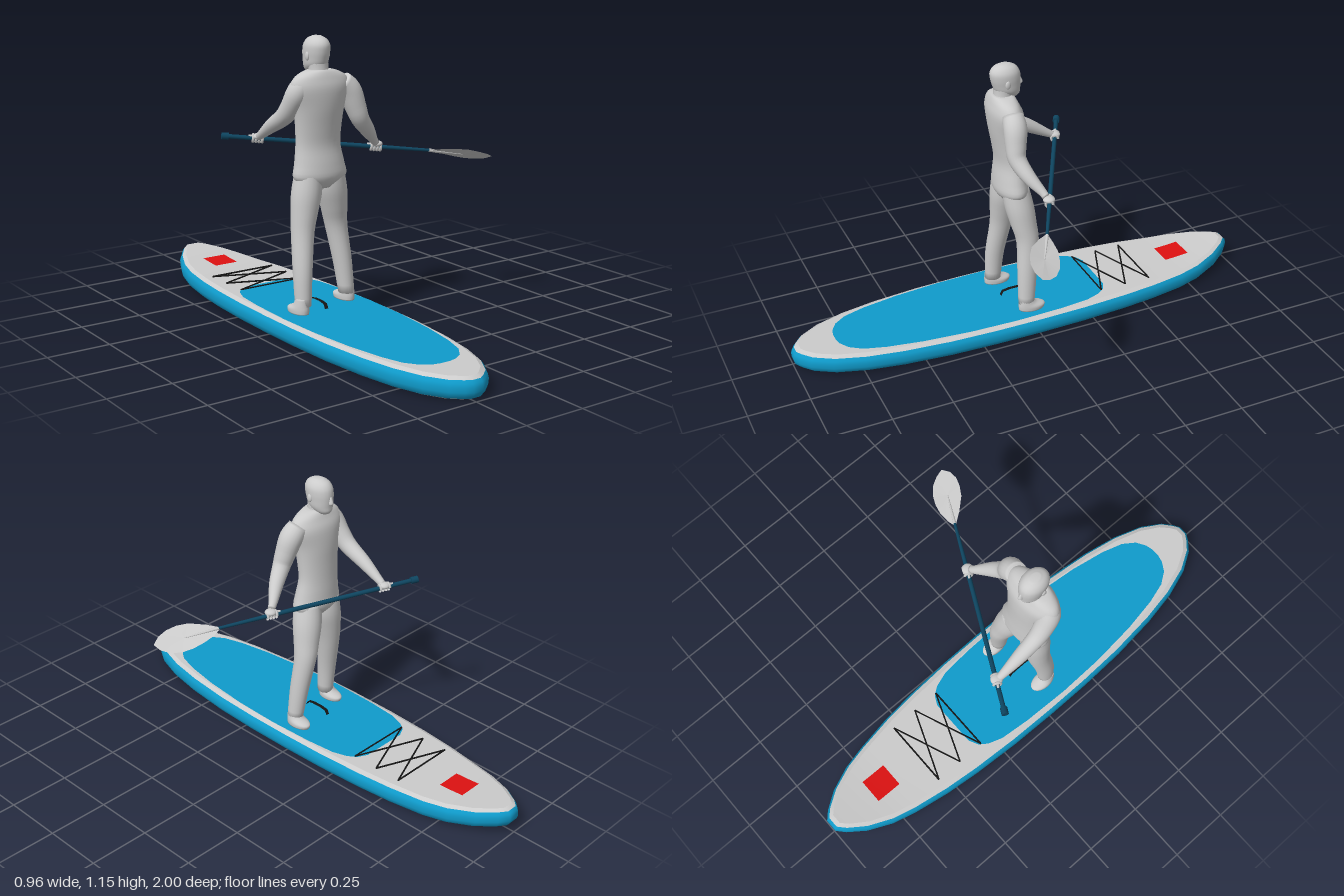
import * as THREE from 'three';

const V = (x, y, z) => new THREE.Vector3(x, y, z);
const CX = -0.24; // board centre line
const mat = (color) => new THREE.MeshStandardMaterial({ color, roughness: 0.8, side: THREE.DoubleSide });
const grey = mat(0xcccccc), blue = mat(0x0f9bcb), red = mat(0xdd1111), black = mat(0x151515), navy = mat(0x0e4560);

// Surface through rows of points; closed rows wrap round.
function skin(rows, closed) {
  const n = rows[0].length, index = [];
  for (let r = 0; r < rows.length - 1; r++) {
    for (let a = 0; a < (closed ? n : n - 1); a++) {
      const b = (a + 1) % n, p = r * n, q = p + n;
      index.push(p + a, q + a, p + b, q + a, q + b, p + b);
    }
  }
  const g = new THREE.BufferGeometry().setFromPoints(rows.flat());
  g.setIndex(index);
  g.computeVertexNormals();
  return g;
}

// Smooth body form from sections [x, y, z, rx, rz], listed bottom to top.
function loft(sections, { follow = false, sides = 20, steps = 4 } = {}) {
  const spline = (pts) => new THREE.CatmullRomCurve3(pts, false, 'catmullrom', 0.5);
  const path = spline(sections.map((s) => V(s[0], s[1], s[2])));
  const size = spline(sections.map((s) => V(s[3], s[4] ?? s[3], 0)));
  const count = (sections.length - 1) * steps, rows = [];
  const ring = (t, k) => {
    const c = path.getPoint(t), s = size.getPoint(t), q = new THREE.Quaternion();
    if (follow) q.setFromUnitVectors(V(0, 1, 0), path.getTangent(t));
    return Array.from({ length: sides }, (_, i) => {
      const a = (i / sides) * Math.PI * 2;
      return V(Math.cos(a) * s.x * k, 0, Math.sin(a) * s.y * k).applyQuaternion(q).add(c);
    });
  };
  rows.push(ring(0, 0));
  for (let i = 0; i <= count; i++) rows.push(ring(i / count, 1));
  rows.push(ring(1, 0));
  return skin(rows, true);
}

// Upward curve of the board's nose
const rocker = (z) => 0.036 * Math.pow(Math.max(0, (-0.68 - z) / 0.32), 1.5);

// Level sheet on the board from stations [z, half width]
function sheet(stations, y, dir = 1) {
  return skin(stations.map(([z, w]) => [-1, 0, 1].map((s) => V(CX + s * dir * w, y + rocker(z), z))), false);
}

// Straight rod between two points
function rod(a, b, r1, r2 = r1, sides = 12) {
  const d = b.clone().sub(a);
  const g = new THREE.CylinderGeometry(r2, r1, d.length(), sides);
  g.applyQuaternion(new THREE.Quaternion().setFromUnitVectors(V(0, 1, 0), d.normalize()));
  return g.translate((a.x + b.x) / 2, (a.y + b.y) / 2, (a.z + b.z) / 2);
}

function ball(x, y, z, rx, ry, rz) {
  return new THREE.SphereGeometry(1, 16, 12).scale(rx, ry, rz).translate(x, y, z);
}

export function createModel() {
  const model = new THREE.Group();
  const group = (name) => {
    const g = new THREE.Group();
    g.name = name;
    model.add(g);
    return g;
  };
  const add = (parent, name, geometry, material = grey) => {
    const m = new THREE.Mesh(geometry, material);
    m.name = name;
    parent.add(m);
  };

  // Board: one outline, inset for each level of the rounded rail
  const board = group('board');
  const outline = [[-1, 0.025], [-0.97, 0.058], [-0.9, 0.108], [-0.8, 0.152], [-0.7, 0.177], [-0.55, 0.203], [-0.4, 0.219],
    [-0.2, 0.231], [0, 0.235], [0.2, 0.234], [0.4, 0.226], [0.6, 0.205], [0.75, 0.177], [0.87, 0.137], [0.95, 0.087], [0.985, 0.045], [1, 0.02]];
  const inset = (d) => outline.map(([z, w]) => [z * (1 - d), w * (1 - d / 0.235)]);
  const level = ([d, y]) => {
    const o = inset(d);
    const side = (s) => o.map(([z, w]) => V(CX + s * w, y + rocker(z), z));
    return [...side(1), ...side(-1).reverse()];
  };
  const band = (levels) => skin(levels.map(level), true);
  add(board, 'rail', band([[0.014, 0.009], [0.004, 0.02], [0, 0.034], [0, 0.052], [0.004, 0.065], [0.013, 0.076]]), blue);
  add(board, 'deckEdge', band([[0.013, 0.076], [0.032, 0.085]]));
  add(board, 'hullEdge', band([[0.036, 0], [0.014, 0.009]]));
  add(board, 'deck', sheet(inset(0.032), 0.085));
  add(board, 'hull', sheet(inset(0.036), 0, -1));
  add(board, 'deckPad', sheet([[-0.345, 0.1], [-0.325, 0.14], [-0.29, 0.165], [-0.23, 0.185], [-0.1, 0.197], [0.1, 0.203], [0.3, 0.197],
    [0.5, 0.178], [0.65, 0.152], [0.74, 0.125], [0.79, 0.09], [0.815, 0.05], [0.822, 0.02]], 0.087), blue);
  add(board, 'redPatch', sheet([[-0.79, 0.052], [-0.735, 0.052], [-0.68, 0.052]], 0.0885), red);

  // Bungee cords: two crossings between end lines
  const cord = (x1, z1, x2, z2) => add(board, 'bungeeCord', rod(V(CX + x1, 0.088, z1), V(CX + x2, 0.088, z2), 0.0035, 0.0035, 6), black);
  for (const z of [-0.545, -0.315]) cord(-0.145, z, 0.145, z);
  for (const z of [-0.545, -0.43]) for (const s of [-1, 1]) cord(s * 0.145, z, -s * 0.145, z + 0.115);

  // Carry handle
  const arch = [[0.087, -0.03], [0.105, -0.02], [0.11, 0.01], [0.11, 0.05], [0.105, 0.08], [0.087, 0.09]];
  add(board, 'carryHandle', skin(arch.map(([y, z]) => [V(CX - 0.008, y, z), V(CX + 0.008, y, z)]), false), black);

  // Paddle
  const paddle = group('paddle');
  const top = V(-0.47, 0.738, -0.275), mid = V(0.03, 0.683, -0.014), neck = V(0.25, 0.659, 0.1);
  add(paddle, 'upperShaft', rod(top, mid, 0.009), navy);
  add(paddle, 'lowerShaft', rod(mid, neck, 0.009, 0.006), navy);
  add(paddle, 'grip', rod(V(-0.48, 0.739, -0.28), V(-0.455, 0.7365, -0.267), 0.014), navy);
  const rim = [[0.24, 0.66, 0.095], [0.28, 0.644, 0.09], [0.33, 0.633, 0.092], [0.375, 0.62, 0.105], [0.415, 0.611, 0.125], [0.45, 0.609, 0.155],
    [0.469, 0.615, 0.19], [0.475, 0.628, 0.222], [0.44, 0.643, 0.237], [0.4, 0.656, 0.236], [0.36, 0.667, 0.22], [0.32, 0.671, 0.195], [0.275, 0.667, 0.145]]
    .map((p) => V(...p));
  const centre = V(0.37, 0.639, 0.165);
  add(paddle, 'blade', skin([rim, rim.map(() => centre)], true));
  add(paddle, 'bladeSpine', rod(neck, centre, 0.007, 0.002));

  // Person, facing the nose of the board
  const person = group('person');
  add(person, 'torso', loft([[-0.237, 0.565, 0.045, 0.05, 0.035], [-0.236, 0.605, 0.043, 0.113, 0.064], [-0.238, 0.66, 0.042, 0.107, 0.064],
    [-0.242, 0.73, 0.04, 0.096, 0.058], [-0.243, 0.8, 0.045, 0.098, 0.061], [-0.244, 0.88, 0.052, 0.108, 0.067],
    [-0.245, 0.95, 0.058, 0.128, 0.066], [-0.247, 0.99, 0.062, 0.115, 0.054], [-0.249, 1.012, 0.063, 0.08, 0.045], [-0.25, 1.022, 0.063, 0.045, 0.038]],
  { sides: 28 }));
  add(person, 'neck', loft([[-0.25, 0.99, 0.065, 0.045, 0.042], [-0.251, 1.02, 0.06, 0.039, 0.038], [-0.252, 1.06, 0.058, 0.039, 0.038]]));
  add(person, 'head', loft([[-0.252, 1.01, 0.022, 0.022, 0.025], [-0.252, 1.022, 0.03, 0.034, 0.041], [-0.252, 1.04, 0.041, 0.043, 0.053],
    [-0.252, 1.065, 0.045, 0.046, 0.059], [-0.252, 1.09, 0.048, 0.048, 0.062], [-0.252, 1.115, 0.051, 0.046, 0.06],
    [-0.252, 1.135, 0.052, 0.034, 0.046], [-0.252, 1.147, 0.052, 0.015, 0.02]]));
  add(person, 'nose', loft([[-0.252, 1.052, -0.012, 0.008, 0.009], [-0.252, 1.06, -0.014, 0.009, 0.011], [-0.252, 1.085, -0.01, 0.004, 0.005]]));
  for (const s of [-1, 1]) add(person, s > 0 ? 'leftEar' : 'rightEar', ball(-0.252 + s * 0.047, 1.073, 0.056, 0.006, 0.017, 0.011));

  // Legs and shoes, from ankle, shin, knee, thigh and hip centres
  const leg = (name, xs, zs, footX, footZ) => {
    const ys = [0.118, 0.25, 0.39, 0.47, 0.55, 0.64], rx = [0.031, 0.037, 0.044, 0.052, 0.059, 0.05], rz = [0.034, 0.041, 0.047, 0.054, 0.06, 0.055];
    add(person, name + 'Leg', loft(ys.map((y, i) => [xs[i], y, zs[i], rx[i], rz[i]])));
    add(person, name + 'Shoe', loft([[footX, 0.088, footZ, 0.033, 0.056], [footX, 0.105, footZ, 0.034, 0.057],
      [footX, 0.122, footZ + 0.018, 0.029, 0.037], [footX, 0.15, footZ + 0.026, 0.023, 0.026]]));
  };
  leg('east', [-0.105, -0.118, -0.138, -0.155, -0.172, -0.187], [0.03, 0.02, 0.008, 0.018, 0.03, 0.042], -0.102, 0.008);
  leg('west', [-0.343, -0.338, -0.322, -0.31, -0.297, -0.287], [0.082, 0.072, 0.05, 0.044, 0.042, 0.042], -0.351, 0.06);

  // Arms, from wrist to shoulder
  add(person, 'eastArm', loft([[0.05, 0.7, 0.012, 0.015], [0.03, 0.718, 0.022, 0.018], [-0.02, 0.764, 0.055, 0.029], [-0.072, 0.818, 0.078, 0.036],
    [-0.093, 0.87, 0.075, 0.042], [-0.115, 0.93, 0.067, 0.047], [-0.15, 0.968, 0.062, 0.042]], { follow: true }));
  add(person, 'westArm', loft([[-0.357, 0.733, -0.205, 0.014], [-0.358, 0.75, -0.175, 0.018], [-0.358, 0.795, -0.1, 0.028], [-0.355, 0.84, -0.02, 0.035],
    [-0.349, 0.885, 0.022, 0.04], [-0.34, 0.935, 0.052, 0.044], [-0.322, 0.968, 0.062, 0.042]], { follow: true }));

  // Hands: palm with four fingers curled round the shaft, and a thumb
  const along = neck.clone().sub(top).normalize();
  const hand = (name, t, palmOffset) => {
    const grip = top.clone().lerp(neck, t), palm = grip.clone().add(palmOffset);
    add(person, name + 'Palm', ball(palm.x, palm.y, palm.z, 0.024, 0.013, 0.024));
    for (let i = 0; i < 4; i++) {
      const c = grip.clone().addScaledVector(along, (i - 1.5) * 0.012);
      const curl = new THREE.TorusGeometry(0.014, 0.006, 6, 12, Math.PI * 1.5);
      curl.applyQuaternion(new THREE.Quaternion().setFromUnitVectors(V(0, 0, 1), along));
      add(person, name + 'Finger', curl.translate(c.x, c.y, c.z));
    }
    add(person, name + 'Thumb', rod(palm, grip.clone().addScaledVector(along, -0.035).add(V(0, 0.008, 0)), 0.007, 0.005, 8));
  };
  hand('east', 0.735, V(0.002, 0.012, 0.004));
  hand('west', 0.16, V(0, 0.008, 0.002));
  return model;
}
